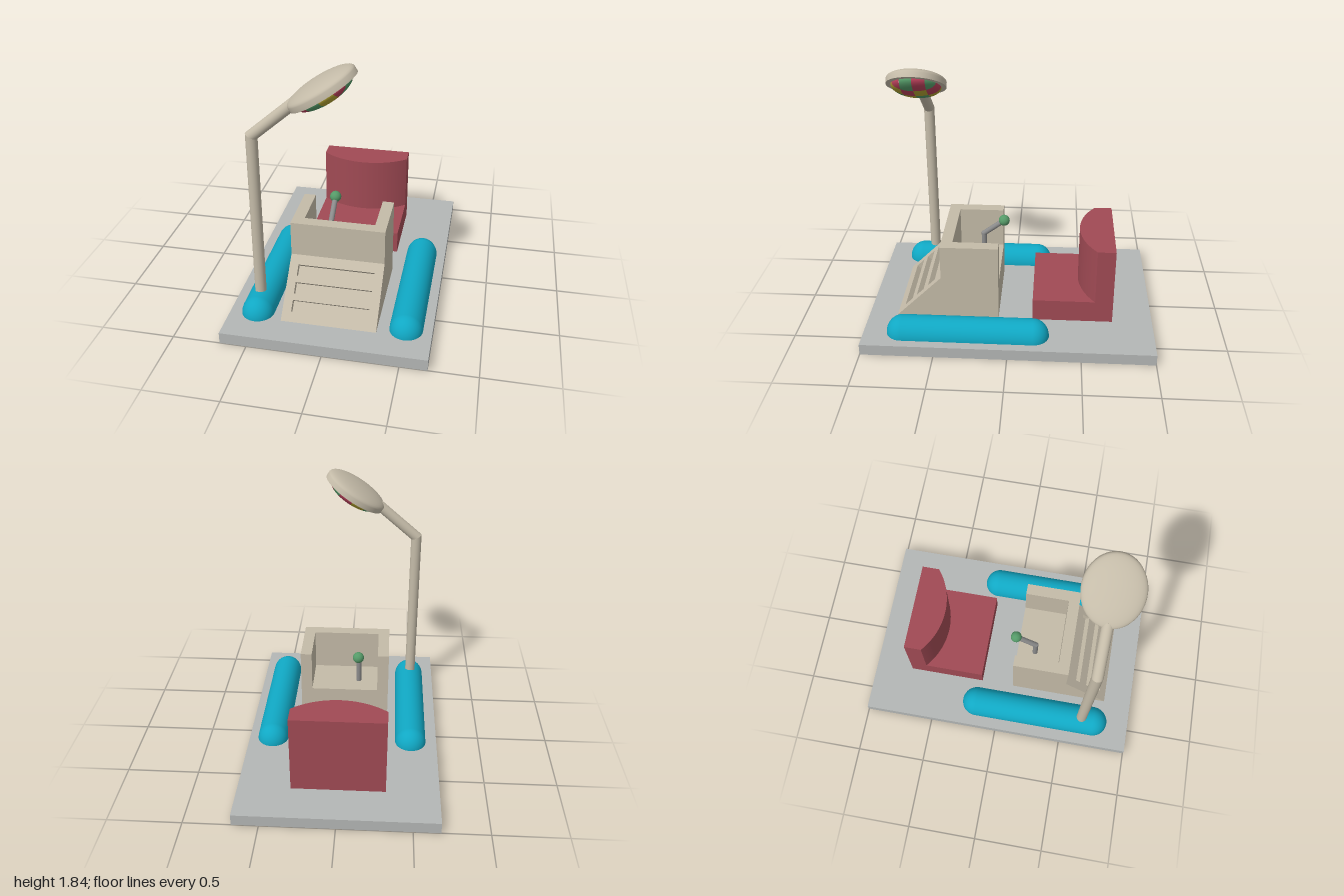
import * as THREE from 'three';
import { toCreasedNormals } from 'three/addons/utils/BufferGeometryUtils.js';
import { ParametricGeometry } from 'three/addons/geometries/ParametricGeometry.js';

const paint = (color) => new THREE.MeshStandardMaterial({ color });
const cream = paint(0xc4bba8), crimson = paint(0xa04a54), teal = paint(0x10a8c4);
const stone = paint(0xb4b7b6), steel = paint(0x8a8a8a), green = paint(0x559a68);
const bulbColors = [paint(0xb8405a), paint(0xb0a030), green];

function add(parent, name, geometry, material, x = 0, y = 0, z = 0) {
  const mesh = new THREE.Mesh(geometry, material);
  mesh.name = name;
  mesh.position.set(x, y, z);
  parent.add(mesh);
  return mesh;
}

const outline = (points) => new THREE.Shape(points.map(([x, y]) => new THREE.Vector2(x, y)));

const extrude = (shape, depth) =>
  new THREE.ExtrudeGeometry(shape, { depth, bevelEnabled: false, curveSegments: 32 });

// Floor plan drawn as (x, -z), raised from y0 to y1
const raise = (shape, y0, y1) => extrude(shape, y1 - y0).rotateX(-Math.PI / 2).translate(0, y0, 0);

// Pipe that rises by h, then leans towards +x with a mitred joint, ending at (dx, h + dy)
function bentPipe(name, r, h, dx, dy, material) {
  const group = new THREE.Group();
  group.name = name;
  const angle = Math.atan2(dx, dy), k = Math.tan(angle / 2), length = Math.hypot(dx, dy);
  const mitred = (len, atTop) => {
    const geometry = new THREE.CylinderGeometry(r, r, len, 24).translate(0, len / 2, 0);
    const p = geometry.attributes.position;
    for (let i = 0; i < p.count; i++) {
      const top = p.getY(i) > len / 2;
      if (top === atTop) p.setY(i, p.getY(i) + (atTop ? -k : k) * p.getX(i));
    }
    return geometry;
  };
  add(group, name + 'Upright', mitred(h, true), material);
  add(group, name + 'Arm', mitred(length, false), material, 0, h, 0).rotation.z = -angle;
  return group;
}

function buildConsole() {
  const group = new THREE.Group();
  group.name = 'console';
  // Lower body, its slope set back behind the grille plate
  const t = 0.04, inset = t * Math.SQRT2;
  const side = outline([[0.08, 0.08], [0.8 - inset, 0.08], [0.48, 0.4 - inset], [0.48, 0.35], [0.08, 0.35]]);
  add(group, 'consoleBody', extrude(side, 0.64).rotateY(-Math.PI / 2).translate(0.32, 0, 0), cream);
  // U-shaped wall, open to the seat
  const wall = outline([[-0.32, -0.08], [-0.32, -0.48], [0.32, -0.48], [0.32, -0.08],
    [0.24, -0.08], [0.24, -0.4], [-0.24, -0.4], [-0.24, -0.08]]);
  add(group, 'consoleWall', raise(wall, 0.35, 0.645), cream);
  // Sloping grille with three slots
  const slope = 0.32 * Math.SQRT2;
  const plate = outline([[-0.32, 0], [0.32, 0], [0.32, slope], [-0.32, slope]]);
  for (let i = -1; i <= 1; i++) {
    const y = slope / 2 + i * 0.12, a = y - 0.038, b = y + 0.038;
    plate.holes.push(outline([[-0.26, a], [-0.26, b], [0.26, b], [0.26, a]]));
  }
  add(group, 'grille', extrude(plate, t).translate(0, 0, -t), cream, 0, 0.08, 0.8).rotation.x = -Math.PI / 4;
  // Control lever
  const lever = bentPipe('lever', 0.019, 0.18, 0.147, 0.11, steel);
  lever.position.set(-0.1, 0.35, 0.212);
  lever.rotation.y = Math.PI / 2;
  group.add(lever);
  add(group, 'leverKnob', new THREE.SphereGeometry(0.04, 24, 16), green, -0.1, 0.64, 0.065);
  return group;
}

function buildSeat() {
  const group = new THREE.Group();
  group.name = 'seat';
  add(group, 'seatCushion', new THREE.BoxGeometry(0.64, 0.16, 0.56), crimson, 0, 0.16, -0.44);
  // Backrest with a bowed front
  const sag = 0.115, R = (0.32 ** 2 + sag ** 2) / (2 * sag), half = Math.asin(0.32 / R);
  const back = new THREE.Shape();
  back.moveTo(0.32, 0.72);
  back.lineTo(-0.32, 0.72);
  back.absarc(0, 0.48 + R, R, -Math.PI / 2 - half, -Math.PI / 2 + half, false);
  add(group, 'backrest', toCreasedNormals(raise(back, 0.24, 0.645), 0.5), crimson);
  return group;
}

function buildLamp() {
  const group = new THREE.Group();
  group.name = 'lamp';
  const post = bentPipe('lampPost', 0.038, 1.245, 0.285, 0.246, cream);
  post.position.set(-0.498, 0.1, 0.64);
  group.add(post);

  const head = new THREE.Group();
  head.name = 'lampHead';
  head.position.set(-0.037, 1.67, 0.64);
  head.rotation.z = 0.575;
  head.scale.x = 1.18;
  group.add(head);
  // Oval shade: flat rim, short edge, low dome
  const profile = [[0.15, 0], [0.2, 0], [0.2, 0.035]];
  for (let i = 1; i <= 10; i++) {
    const a = (i / 10) * Math.PI / 2;
    profile.push([i === 10 ? 0 : 0.2 * Math.cos(a), 0.035 + 0.055 * Math.sin(a)]);
  }
  const lathe = new THREE.LatheGeometry(profile.map(([x, y]) => new THREE.Vector2(x, y)), 48);
  add(head, 'lampShade', toCreasedNormals(lathe, 0.7), cream);
  // Bulging chequered lens, one patch per square of a 4 x 4 grid
  for (let col = 0; col < 4; col++) {
    for (let row = 0; row < 4; row++) {
      const limit = (col % 3 === 0 && row % 3 === 0) ? Math.sqrt(0.75) : 1;
      const [u0, u1] = [1 - row / 2, 0.5 - row / 2].map((u) => Math.max(-limit, Math.min(limit, u)));
      const a0 = Math.asin(u0), a1 = Math.asin(u1);
      const [v0, v1] = [1 - col / 2, 0.5 - col / 2];
      const patch = new ParametricGeometry((s, t, target) => {
        const a = a0 + (a1 - a0) * s, c = Math.max(Math.cos(a), 1e-6);
        const turn = (v) => Math.asin(Math.max(-1, Math.min(1, v / c)));
        const b = turn(v0) + (turn(v1) - turn(v0)) * t;
        target.set(Math.sin(a), -c * Math.cos(b), c * Math.sin(b));
      }, 10, 10);
      // Unit-sphere normals equal the positions
      patch.attributes.normal.copy(patch.attributes.position);
      const color = bulbColors[(row + (col % 2) * 2) % 3].clone();
      color.side = THREE.DoubleSide;
      add(head, 'lensPatch', patch, color).scale.set(0.167, 0.068, 0.167);
    }
  }
  return group;
}

export function createModel() {
  const model = new THREE.Group();
  model.name = 'rideModel';
  add(model, 'basePlate', new THREE.BoxGeometry(1.36, 0.08, 2), stone, 0, 0.04, 0);
  // Half-round floats on both sides
  for (const x of [-0.492, 0.508]) {
    const geometry = new THREE.CapsuleGeometry(0.11, 0.9, 12, 32).rotateX(Math.PI / 2);
    const p = geometry.attributes.position;
    for (let i = 0; i < p.count; i++) p.setY(i, Math.max(p.getY(i), -0.02));
    add(model, 'sideFloat', geometry, teal, x, 0.08, 0.28).scale.y = 1.09;
  }
  model.add(buildConsole(), buildSeat(), buildLamp());
  return model;
}
